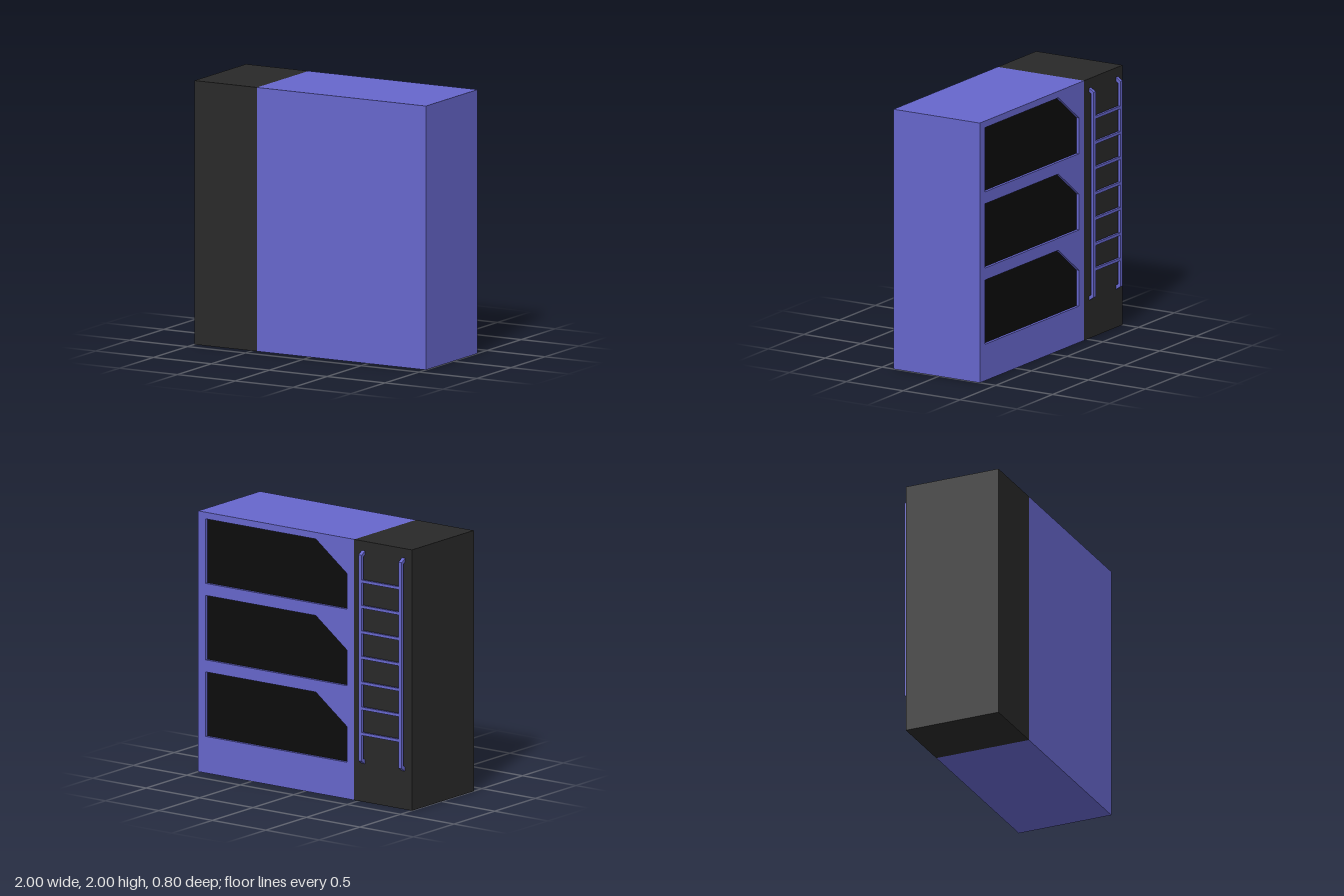
import * as THREE from 'three';

const BACK = -0.36, FRONT = 0.4, SPLIT = -0.46, RECESS = 0.025;
const blue = new THREE.MeshStandardMaterial({ color: 0x6666cc });
const dark = new THREE.MeshStandardMaterial({ color: 0x282828 });
const black = new THREE.MeshStandardMaterial({ color: 0x0c0c0c, side: THREE.DoubleSide });

function add(parent, name, geometry, material) {
  const mesh = new THREE.Mesh(geometry, material);
  mesh.name = name;
  parent.add(mesh);
  return mesh;
}

// Box given by its two extreme corners
function block(parent, name, material, [x0, y0, z0], [x1, y1, z1]) {
  const mesh = add(parent, name, new THREE.BoxGeometry(x1 - x0, y1 - y0, z1 - z0), material);
  mesh.position.set((x0 + x1) / 2, (y0 + y1) / 2, (z0 + z1) / 2);
  return mesh;
}

const polygon = (points) => points.map(([x, y]) => new THREE.Vector2(x, y));

// Bunk opening with one chamfered upper corner; y is its lower edge
const opening = (y) => polygon([
  [0.93, y], [0.93, y + 0.495], [-0.1, y + 0.495], [-0.39, y + 0.275], [-0.39, y],
]);

export function createModel() {
  const model = new THREE.Group();
  model.name = 'bunkUnit';

  // Main body and the dark ladder column beside it
  block(model, 'bunkBody', blue, [SPLIT, 0, BACK + RECESS], [1, 2, FRONT]);
  block(model, 'ladderColumn', dark, [-1, 0, BACK], [SPLIT, 2, FRONT]);

  // Back wall pierced by three bunk openings, each closed by a black panel
  const wall = new THREE.Shape(polygon([[SPLIT, 0], [1, 0], [1, 2], [SPLIT, 2]]));
  for (let i = 0; i < 3; i++) {
    const outline = opening(0.28 + i * 0.587);
    wall.holes.push(new THREE.Path(outline));
    const panel = add(model, 'bunkPanel' + (i + 1),
      new THREE.ShapeGeometry(new THREE.Shape(outline)), black);
    panel.position.z = BACK + RECESS - 0.002;
  }
  add(model, 'backWall',
    new THREE.ExtrudeGeometry(wall, { depth: RECESS, bevelEnabled: false }), blue)
    .position.z = BACK;

  // Ladder: two bent rails with rungs between them
  const ladder = new THREE.Group();
  ladder.name = 'ladder';
  model.add(ladder);
  const railProfile = new THREE.Shape(polygon([
    [0.355, 0.29], [0.4, 0.32], [0.4, 1.9], [0.355, 1.93],
    [0.355, 1.9], [0.378, 1.885], [0.378, 0.337], [0.355, 0.322],
  ]));
  const railGeometry = new THREE.ExtrudeGeometry(railProfile, { depth: 0.03, bevelEnabled: false });
  railGeometry.rotateY(Math.PI / 2); // profile now runs toward -z, thickness along +x
  for (const [name, x] of [['outerRail', -0.935], ['innerRail', -0.56]]) {
    add(ladder, name, railGeometry, blue).position.x = x;
  }
  for (let i = 0; i < 7; i++) {
    const y = 0.53 + i * 0.195;
    block(ladder, 'rung' + (i + 1), blue, [-0.91, y - 0.011, -0.399], [-0.555, y + 0.011, -0.379]);
  }
  return model;
}
